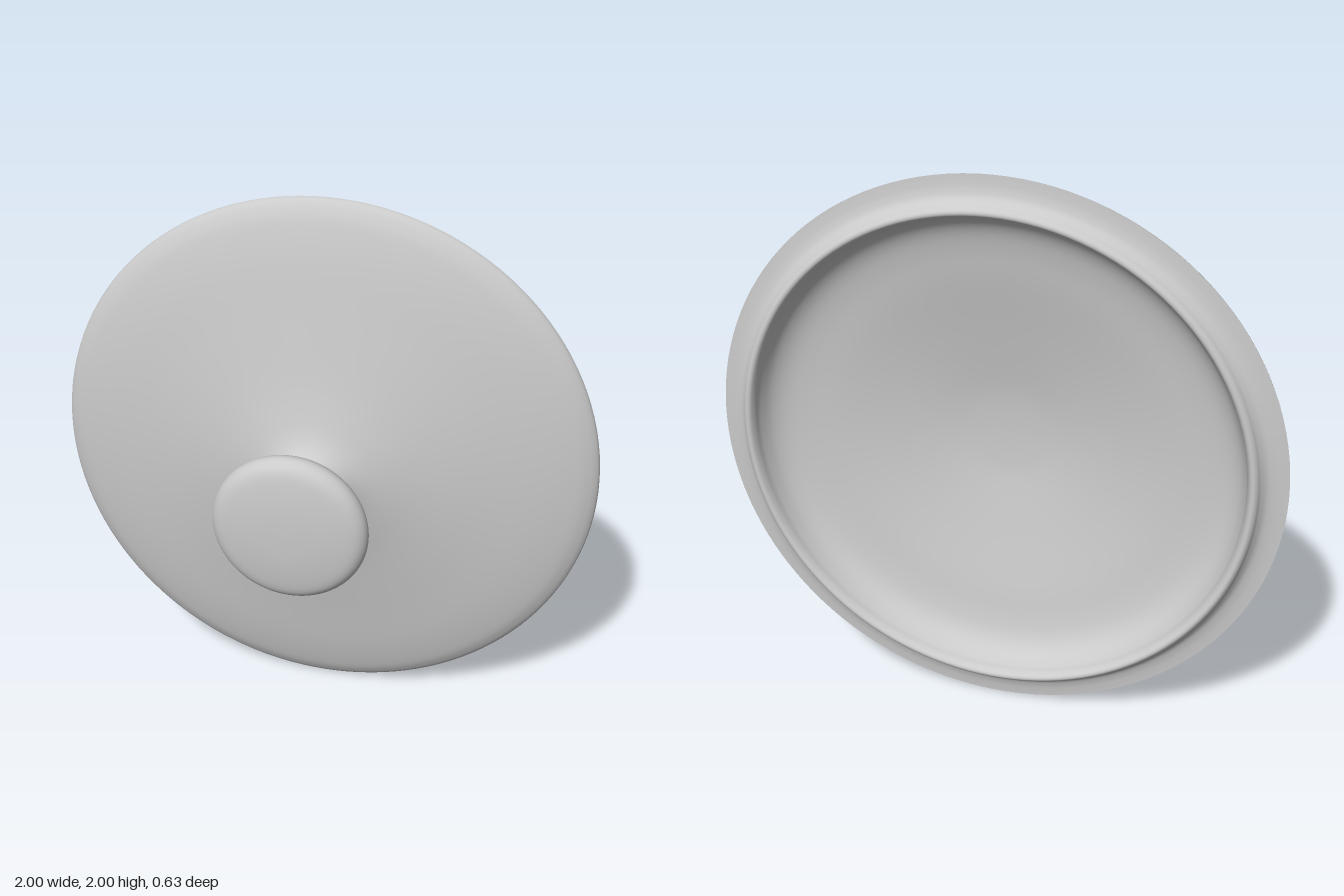
import * as THREE from 'three';

const grey = new THREE.MeshStandardMaterial({ color: 0xcacaca });
grey.name = 'grey';

// Smooth surface of revolution about z from a few (radius, z) points
function turned(name, profile, steps) {
  const curve = new THREE.SplineCurve(profile.map(([r, z]) => new THREE.Vector2(r, z)));
  const points = curve.getPoints(steps);
  points.forEach((p) => { p.x = Math.max(0, p.x); });
  const geometry = new THREE.LatheGeometry(points, 128);
  geometry.rotateX(Math.PI / 2);
  const mesh = new THREE.Mesh(geometry, grey);
  mesh.name = name;
  mesh.position.y = 1;
  return mesh;
}

export function createModel() {
  const lid = new THREE.Group();
  lid.name = 'lid';

  // Hollow underside, rounded seating lip and fillet running out to the rim
  lid.add(turned('undersideAndLip', [
    [0, -0.072], [0.1, -0.075], [0.2, -0.085], [0.4, -0.12], [0.6, -0.159],
    [0.72, -0.18], [0.79, -0.2], [0.835, -0.23], [0.861, -0.27], [0.87, -0.298],
    [0.88, -0.314], [0.892, -0.317], [0.903, -0.309], [0.912, -0.293],
    [0.93, -0.275], [0.955, -0.266], [0.98, -0.262], [1, -0.26],
  ], 119));

  // Flared cover rising through the waist to the domed knob
  lid.add(turned('coverAndKnob', [
    [1, -0.26], [0.994, -0.245], [0.97, -0.226], [0.92, -0.204], [0.8, -0.173],
    [0.6, -0.135], [0.4, -0.096], [0.28, -0.067], [0.2, -0.042],
    [0.15, -0.013], [0.127, 0.02], [0.142, 0.06], [0.19, 0.12], [0.245, 0.182],
    [0.27, 0.222], [0.275, 0.25], [0.263, 0.275], [0.235, 0.293],
    [0.18, 0.304], [0.1, 0.312], [0, 0.315],
  ], 140));

  return lid;
}
